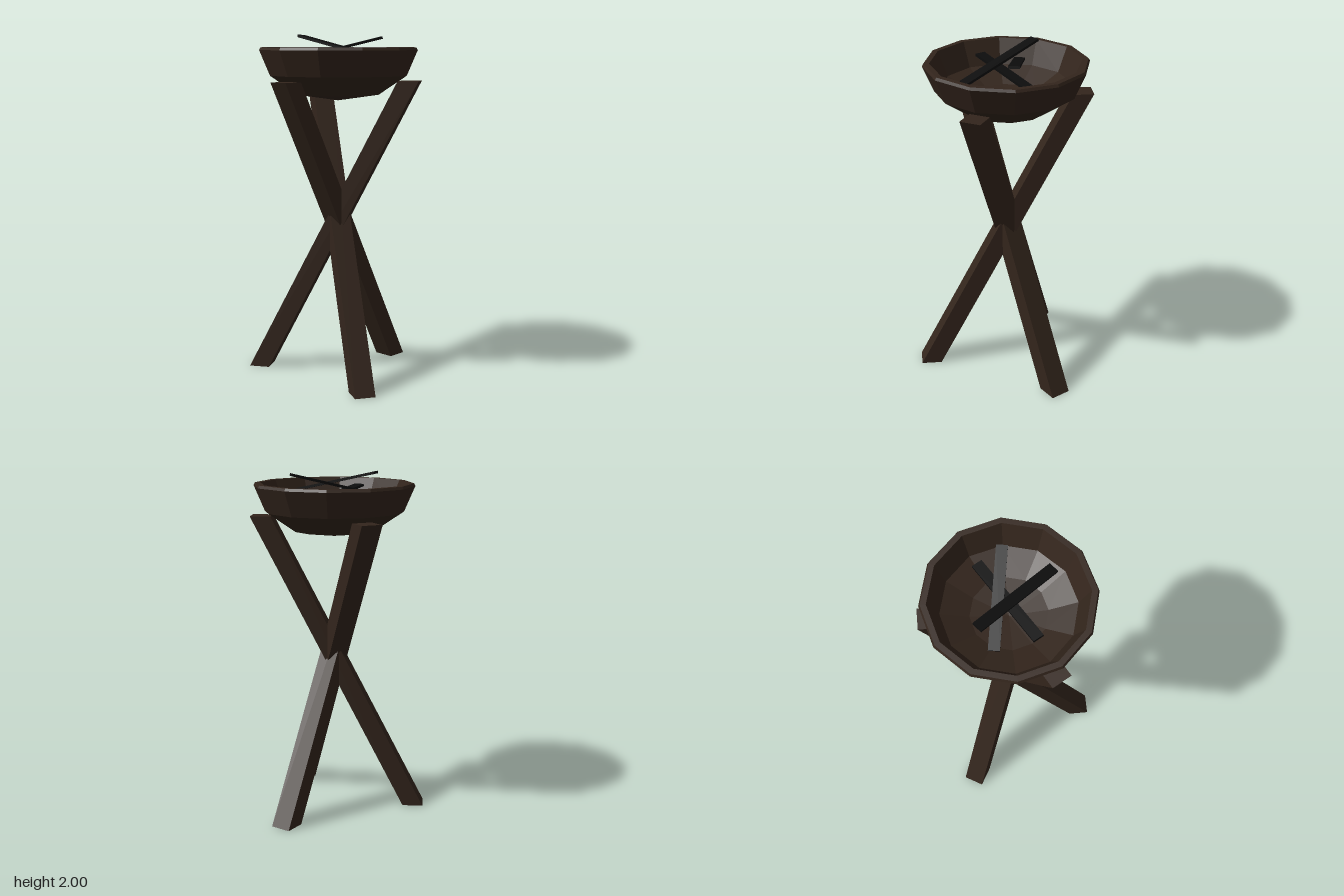
import * as THREE from 'three';

const wood = new THREE.MeshStandardMaterial({ color: 0x33251c, flatShading: true });
const char = new THREE.MeshStandardMaterial({ color: 0x0d0d0d, flatShading: true });

const AXIS_X = 0.027; // common axis of the tripod and the bowl
const LEG_HEIGHT = 1.74;

// Slanted square beam with level ends: a box sheared along x
function legGeometry() {
  const geo = new THREE.BoxGeometry(0.12, LEG_HEIGHT, 0.12);
  geo.translate(0, LEG_HEIGHT / 2, 0);
  const p = geo.attributes.position;
  for (let i = 0; i < p.count; i++) {
    p.setX(i, p.getX(i) + THREE.MathUtils.lerp(0.48, -0.42, p.getY(i) / LEG_HEIGHT));
  }
  geo.computeVertexNormals();
  return geo;
}

// Thin flat stick between two end points
function stick(name, a, b) {
  const start = new THREE.Vector3(...a), end = new THREE.Vector3(...b);
  const dir = end.clone().sub(start);
  const mesh = new THREE.Mesh(new THREE.BoxGeometry(dir.length(), 0.014, 0.062), char);
  const x = dir.clone().normalize();
  const z = new THREE.Vector3().crossVectors(x, new THREE.Vector3(0, 1, 0)).normalize();
  const y = new THREE.Vector3().crossVectors(z, x);
  mesh.quaternion.setFromRotationMatrix(new THREE.Matrix4().makeBasis(x, y, z));
  mesh.position.copy(start).add(end).multiplyScalar(0.5);
  mesh.name = name;
  return mesh;
}

export function createModel() {
  const model = new THREE.Group();
  model.name = 'tripodFireBowl';

  // Three crossing legs
  const legs = new THREE.Group();
  legs.name = 'legs';
  const geo = legGeometry();
  for (let i = 0; i < 3; i++) {
    const leg = new THREE.Mesh(geo, wood);
    leg.name = `leg${i + 1}`;
    leg.rotation.y = Math.PI + (i * Math.PI * 2) / 3;
    legs.add(leg);
  }
  legs.position.x = AXIS_X;
  model.add(legs);

  // Twelve-sided bowl: outside from the base up, over the rim, then down the inside
  const profile = [
    [0, 1.625], [0.24, 1.66], [0.403, 1.77], [0.465, 1.915], [0.457, 1.93],
    [0.425, 1.93], [0.365, 1.79], [0.21, 1.72], [0, 1.69],
  ].map(([r, y]) => new THREE.Vector2(r, y));
  const bowl = new THREE.Mesh(new THREE.LatheGeometry(profile, 12), wood);
  bowl.name = 'bowl';
  bowl.position.set(AXIS_X, 0, 0.005);
  model.add(bowl);

  // Burnt sticks lying across each other in the bowl
  const sticks = new THREE.Group();
  sticks.name = 'burntSticks';
  sticks.add(
    stick('stick1', [-0.245, 1.855, 0.045], [0.255, 1.985, -0.14]),
    stick('stick2', [-0.215, 1.995, -0.06], [0.3, 1.87, 0.135]),
    stick('stick3', [-0.105, 1.9, 0.23], [0.175, 1.82, -0.25]),
  );
  model.add(sticks);

  return model;
}
